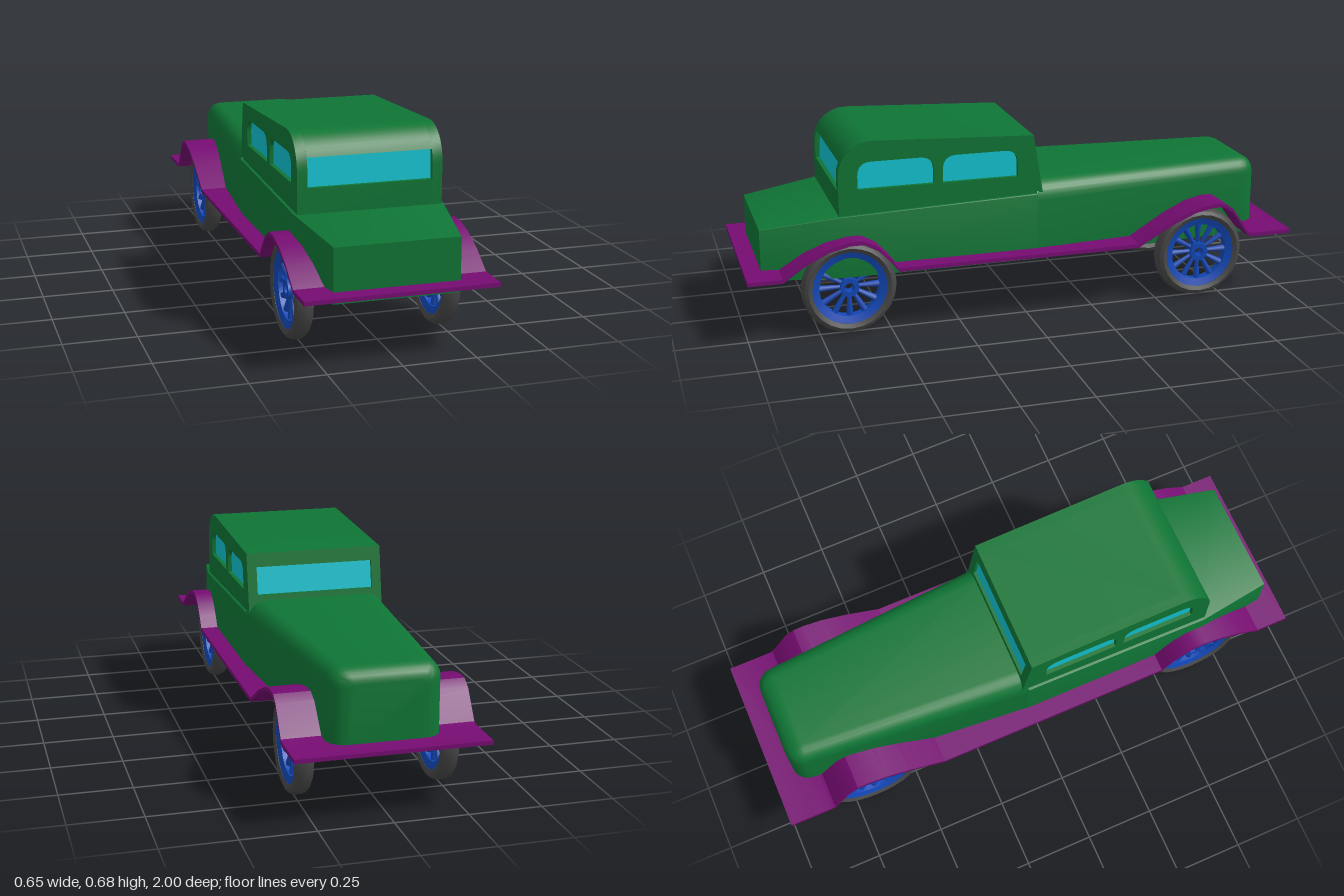
import * as THREE from 'three';
import { toCreasedNormals } from 'three/addons/utils/BufferGeometryUtils.js';

const mat = (color, side = THREE.FrontSide) => new THREE.MeshStandardMaterial({ color, side });
const green = mat(0x0f7535), purple = mat(0x760c72), cyan = mat(0x10c4d2);
const blue = mat(0x1248b8, THREE.DoubleSide), rubber = mat(0x484848, THREE.DoubleSide);

function add(parent, name, geometry, material) {
  const mesh = new THREE.Mesh(geometry, material);
  mesh.name = name;
  parent.add(mesh);
  return mesh;
}

const toShape = (pts) => new THREE.Shape(pts.map(([z, y]) => new THREE.Vector2(z, y)));

// Extrudes a (z, y) side profile across x, between x0 and x1
function across(shape, x0, x1) {
  const g = new THREE.ExtrudeGeometry(shape, { depth: x1 - x0, bevelEnabled: false, curveSegments: 8 });
  g.rotateY(-Math.PI / 2).translate(x1, 0, 0);
  return toCreasedNormals(g, 0.5);
}

// Cross-section of the body: flat bottom, upright sides, rounded upper edges
function section(w, h, r) {
  const pts = [[w, 0.205]], n = 6;
  for (let i = 0; i <= n; i++) {
    const a = (i / n) * Math.PI / 2;
    pts.push([w - r + r * Math.cos(a), h - r + r * Math.sin(a)]);
  }
  return pts.concat(pts.map(([x, y]) => [-x, y]).reverse());
}

// Lower body: trunk, belt and rounded hood, lofted along z
function bodyGeometry() {
  const stations = [
    [0.94, 0.212, 0.39, 0.003],
    [0.66, 0.26, 0.425, 0.003],
    [-0.035, 0.26, 0.448, 0.005],
    [-0.045, 0.258, 0.49, 0.07],
  ];
  for (let i = 0; i <= 6; i++) {
    const a = (i / 6) * Math.PI / 2, c = 1 - Math.cos(a);
    stations.push([-0.855 - 0.065 * Math.sin(a), 0.19 - 0.06 * c, 0.49 - 0.05 * c, 0.055 - 0.03 * c]);
  }
  const pos = [], idx = [];
  let m = 0;
  for (const [z, w, h, r] of stations) {
    const ring = section(w, h, r);
    m = ring.length;
    ring.forEach(([x, y]) => pos.push(x, y, z));
  }
  const last = (stations.length - 1) * m;
  for (let i = 0; i < stations.length - 1; i++) {
    for (let j = 0; j < m; j++) {
      const a = i * m + j, b = i * m + (j + 1) % m;
      idx.push(a, a + m, b + m, a, b + m, b);
    }
  }
  for (let j = 1; j < m - 1; j++) {
    idx.push(0, j, j + 1, last, last + j + 1, last + j);
  }
  const g = new THREE.BufferGeometry();
  g.setAttribute('position', new THREE.Float32BufferAttribute(pos, 3));
  g.setIndex(idx);
  return toCreasedNormals(g, 0.5);
}

// Side window outline: square sill, rounded upper corners
function windowPath(z0, z1) {
  const y0 = 0.515, y1 = 0.612, r = 0.05;
  const p = new THREE.Path();
  p.moveTo(z0, y0);
  p.lineTo(z1, y0);
  p.lineTo(z1, y1 - r);
  p.quadraticCurveTo(z1, y1, z1 - r, y1);
  p.lineTo(z0 + r, y1);
  p.quadraticCurveTo(z0, y1, z0, y1 - r);
  p.closePath();
  return p;
}

// Cabin: pierced side walls, solid roof and base, one glass block between
function buildCabin() {
  const cabin = new THREE.Group();
  cabin.name = 'cabin';
  const arc = (from) => {
    const pts = [];
    for (let i = 0; i <= 8; i++) {
      const a = from + (i / 8) * (Math.PI / 2 - from);
      pts.push([0.55 + 0.12 * Math.cos(a), 0.565 + 0.12 * Math.sin(a)]);
    }
    return pts;
  };
  const slant = (y) => -0.025 - (0.66 - y) / 6;
  const low = 0.41, sill = 0.51, head = 0.61;
  const wall = toShape([[0.67, low], ...arc(0), [slant(0.66), 0.66], [slant(low), low]]);
  wall.holes.push(windowPath(0.335, 0.603), windowPath(0.033, 0.303));
  add(cabin, 'leftCabinWall', across(wall, 0.215, 0.25), green);
  add(cabin, 'rightCabinWall', across(wall, -0.25, -0.215), green);
  const roof = toShape([...arc(Math.asin((head - 0.565) / 0.12)), [slant(0.66), 0.66], [slant(head), head]]);
  add(cabin, 'roof', across(roof, -0.215, 0.215), green);
  const base = toShape([[0.67, low], [0.67, sill], [slant(sill), sill], [slant(low), low]]);
  add(cabin, 'cabinBase', across(base, -0.215, 0.215), green);
  const glass = toShape([[0.655, sill], [0.65, head], [slant(head) + 0.01, head], [slant(sill) + 0.01, sill]]);
  add(cabin, 'windows', across(glass, -0.235, 0.235), cyan);
  return cabin;
}

// Fenders and running boards: one bent sheet
function fenderGeometry() {
  const top = [[1, 0.245], [0.88, 0.245], [0.8, 0.3], [0.72, 0.338], [0.65, 0.355], [0.6, 0.355],
    [0.55, 0.328], [0.51, 0.285], [0.48, 0.245], [-0.4, 0.245], [-0.53, 0.318], [-0.62, 0.357],
    [-0.69, 0.37], [-0.73, 0.368], [-0.765, 0.345], [-0.83, 0.25], [-0.85, 0.245], [-1, 0.245]];
  const under = top.map(([z, y]) => [z, y - 0.014]).reverse();
  return across(toShape([...top, ...under]), -0.325, 0.325);
}

const lathe = (pts, n) => toCreasedNormals(
  new THREE.LatheGeometry(pts.map(([r, x]) => new THREE.Vector2(r, x)), n).rotateZ(-Math.PI / 2), 0.6);

// Wheel: tyre, rim, hub ring and twelve spokes, axle along x
function buildWheel(name, x, z) {
  const wheel = new THREE.Group();
  wheel.name = name;
  add(wheel, 'tyre', lathe([[0.132, -0.026], [0.147, -0.033], [0.159, -0.027], [0.167, -0.012],
    [0.167, 0.012], [0.159, 0.027], [0.147, 0.033], [0.132, 0.026], [0.132, -0.026]], 24), rubber);
  add(wheel, 'rim', lathe([[0.106, -0.016], [0.135, -0.026], [0.135, 0.026], [0.106, 0.016], [0.106, -0.016]], 24), blue);
  add(wheel, 'hub', lathe([[0.017, -0.02], [0.034, -0.02], [0.034, 0.02], [0.017, 0.02], [0.017, -0.02]], 12), blue);
  for (let i = 0; i < 12; i++) {
    const spoke = new THREE.CylinderGeometry(0.013, 0.007, 0.085, 6).translate(0, 0.07, 0);
    add(wheel, 'spoke', spoke.rotateX((i / 12) * Math.PI * 2), blue);
  }
  wheel.position.set(x, 0.168, z);
  return wheel;
}

export function createModel() {
  const car = new THREE.Group();
  car.name = 'car';
  add(car, 'body', bodyGeometry(), green);
  car.add(buildCabin());
  add(car, 'fenders', fenderGeometry(), purple);
  car.add(
    buildWheel('trunkLeftWheel', 0.243, 0.643),
    buildWheel('trunkRightWheel', -0.262, 0.643),
    buildWheel('hoodLeftWheel', 0.243, -0.665),
    buildWheel('hoodRightWheel', -0.25, -0.665),
  );
  return car;
}
